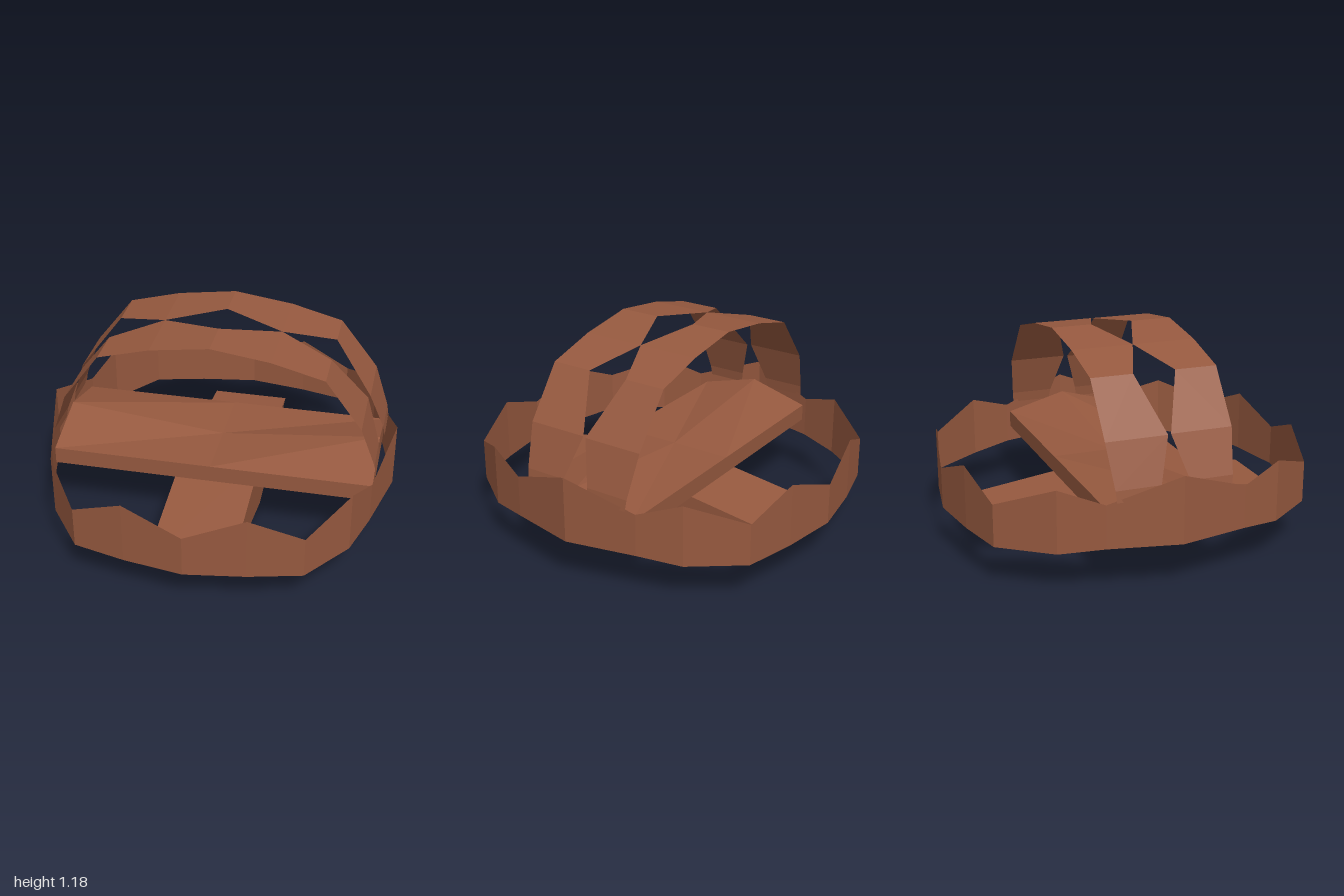
import * as THREE from 'three';

const wood = new THREE.MeshStandardMaterial({ color: 0x96593f, flatShading: true, side: THREE.DoubleSide });
wood.name = 'warm brown';

// Skin a surface through rows of [x, y, z] points
function loft(rows, closeRow = false, caps = false) {
  const pos = [];
  const tri = (a, b, c) => pos.push(...a, ...b, ...c);
  for (let i = 0; i < rows.length - 1; i++) {
    const a = rows[i], b = rows[i + 1], n = a.length;
    for (let j = 0; j < (closeRow ? n : n - 1); j++) {
      const k = (j + 1) % n;
      tri(a[j], b[j], b[k]);
      tri(a[j], b[k], a[k]);
    }
  }
  if (caps) {
    const a = rows[0], b = rows[rows.length - 1];
    for (let j = 1; j < a.length - 1; j++) {
      tri(a[0], a[j], a[j + 1]);
      tri(b[0], b[j + 1], b[j]);
    }
  }
  const g = new THREE.BufferGeometry();
  g.setAttribute('position', new THREE.Float32BufferAttribute(pos, 3));
  g.computeVertexNormals();
  return g;
}

function part(group, name, geometry) {
  const mesh = new THREE.Mesh(geometry, wood);
  mesh.name = name;
  group.add(mesh);
  return mesh;
}

// Mirror a half outline (starting on x = 0) into a full one
const mirrorX = (half) => [
  ...half.slice(1).reverse().map(([x, ...rest]) => [-x, ...rest]),
  ...half,
];

export function createModel() {
  const model = new THREE.Group();
  model.name = 'basket';

  // Zigzag rim band: x, z, bottom y, top y for a quarter
  const quarter = [
    [0, 1, 0.23, 0.46], [0.325, 0.95, 0.23, 0.58], [0.61, 0.88, 0.23, 0.46],
    [0.81, 0.61, 0.23, 0.57], [0.89, 0.38, 0.255, 0.49], [0.98, 0, 0.26, 0.625],
  ];
  const front = mirrorX(quarter);
  const back = front.slice(1, -1).reverse().map(([x, z, b, t]) => [x, -z, b, t]);
  const rim = [...front, ...back, front[0]];
  part(model, 'rimBand', loft(rim.map(([x, z, b, t]) => [[x, b, z], [x, t, z]])));

  // Two arched handles: x, y, outer z, inner z for half an arch
  const handles = [
    ['frontHandle', 0, [
      [0, 1.18, 0.33, 0.10], [0.325, 1.135, 0.33, -0.02], [0.61, 1.06, 0.33, 0.10],
      [0.81, 0.79, 0.33, -0.005], [0.89, 0.56, 0.305, 0.07], [0.9, 0.5, 0.3, 0.08],
    ]],
    ['backHandle', 0.01, [
      [0, 1.18, -0.36, -0.135], [0.325, 1.135, -0.36, -0.02], [0.61, 1.06, -0.36, -0.13],
      [0.81, 0.79, -0.36, -0.025], [0.89, 0.56, -0.335, -0.09], [0.9, 0.5, -0.33, -0.1],
    ]],
  ];
  for (const [name, widen, half] of handles) {
    const rows = mirrorX(half).map(([x, y, outer, inner]) => {
      const px = x + Math.sign(x) * (y < 1 ? widen : 0);
      return [[px, y, outer], [px, y, inner]];
    });
    part(model, name, loft(rows));
  }

  // Cross beam under the handles, its ridge sagging to the middle
  const section = (x, ridge) => [
    [x, 0.445, 0.33], [x, ridge, -0.015], [x, 0.445, -0.36], [x, 0.35, -0.36], [x, 0.35, 0.33],
  ];
  part(model, 'crossBeam', loft([section(-0.89, 0.54), section(0, 0.446), section(0.89, 0.54)], true, true));

  // Diamond-shaped foot running front to back
  const diamond = (x) => [[x, 0, 0], [x, 0.19, 0.885], [x, 0.31, 0], [x, 0.19, -0.885]];
  part(model, 'footBeam', loft([diamond(-0.225), diamond(0.225)], true, true));

  return model;
}
